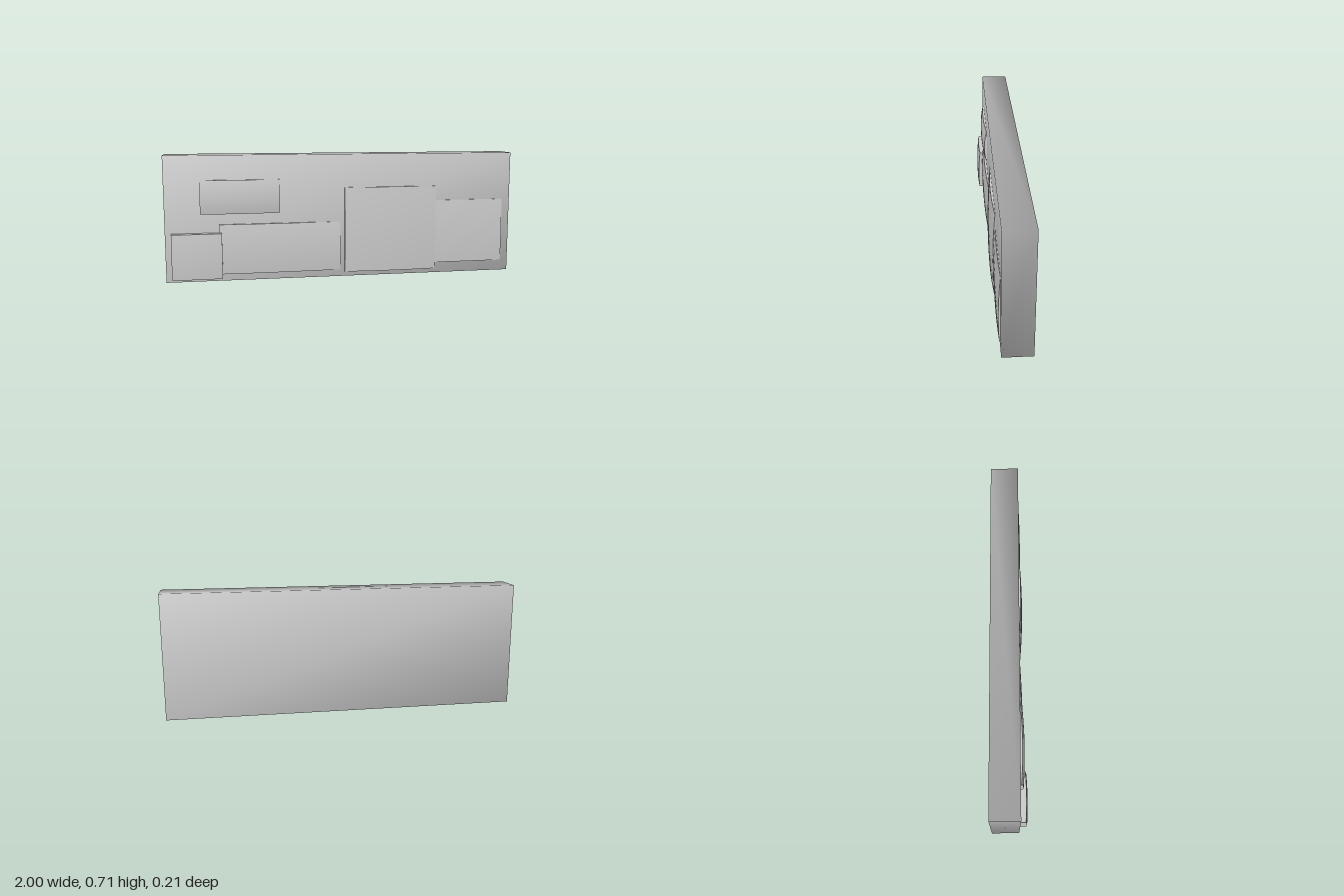
import * as THREE from 'three';
import { mergeVertices } from 'three/addons/utils/BufferGeometryUtils.js';

const BACK = -0.103, FRONT = 0.055, HEIGHT = 0.706;

const material = new THREE.MeshStandardMaterial({ color: 0xcccccc });

// Plain slab whose corners share smooth, area-weighted normals
function makeSlab() {
  let geo = new THREE.BoxGeometry(2, HEIGHT, FRONT - BACK);
  geo.deleteAttribute('normal');
  geo.deleteAttribute('uv');
  geo = mergeVertices(geo);
  geo.translate(0, HEIGHT / 2, (FRONT + BACK) / 2);
  geo.computeVertexNormals();
  return geo;
}

// Raised panel with a softly bulging front; zl / zr are the edge depths left and right
function makePanel({ x0, x1, y0, y1, zl, zr, bulgeX, bulgeY }) {
  const geo = new THREE.BoxGeometry(2, 2, 2, 12, 12, 1);
  const p = geo.attributes.position;
  for (let i = 0; i < p.count; i++) {
    const u = p.getX(i), v = p.getY(i);
    const z = THREE.MathUtils.lerp(zl, zr, (u + 1) / 2)
      + bulgeX * (1 - u * u) + bulgeY * (1 - v * v) - 0.003 * v;
    p.setXYZ(i,
      THREE.MathUtils.lerp(x0, x1, (u + 1) / 2),
      THREE.MathUtils.lerp(y0, y1, (v + 1) / 2),
      p.getZ(i) > 0 ? z : FRONT - 0.01);
  }
  geo.computeVertexNormals();
  return geo;
}

const panels = {
  upperPanel: { x0: -0.806, x1: -0.366, y0: 0.38, y1: 0.568, zl: 0.064, zr: 0.06, bulgeX: 0.009, bulgeY: 0.010 },
  cornerPanel: { x0: -0.965, x1: -0.69, y0: 0.02, y1: 0.274, zl: 0.092, zr: 0.091, bulgeX: 0.005, bulgeY: 0.006 },
  longPanel: { x0: -0.706, x1: -0.02, y0: 0.04, y1: 0.32, zl: 0.067, zr: 0.058, bulgeX: 0.008, bulgeY: 0.008 },
  largePanel: { x0: 0.005, x1: 0.544, y0: 0.026, y1: 0.516, zl: 0.059, zr: 0.06, bulgeX: 0.011, bulgeY: 0.009 },
  endPanel: { x0: 0.544, x1: 0.953, y0: 0.062, y1: 0.432, zl: 0.06, zr: 0.059, bulgeX: 0.004, bulgeY: 0.007 },
};

export function createModel() {
  const group = new THREE.Group();
  const add = (name, geo) => {
    const mesh = new THREE.Mesh(geo, material);
    mesh.name = name;
    group.add(mesh);
  };
  add('slab', makeSlab());
  for (const [name, spec] of Object.entries(panels)) add(name, makePanel(spec));
  return group;
}
